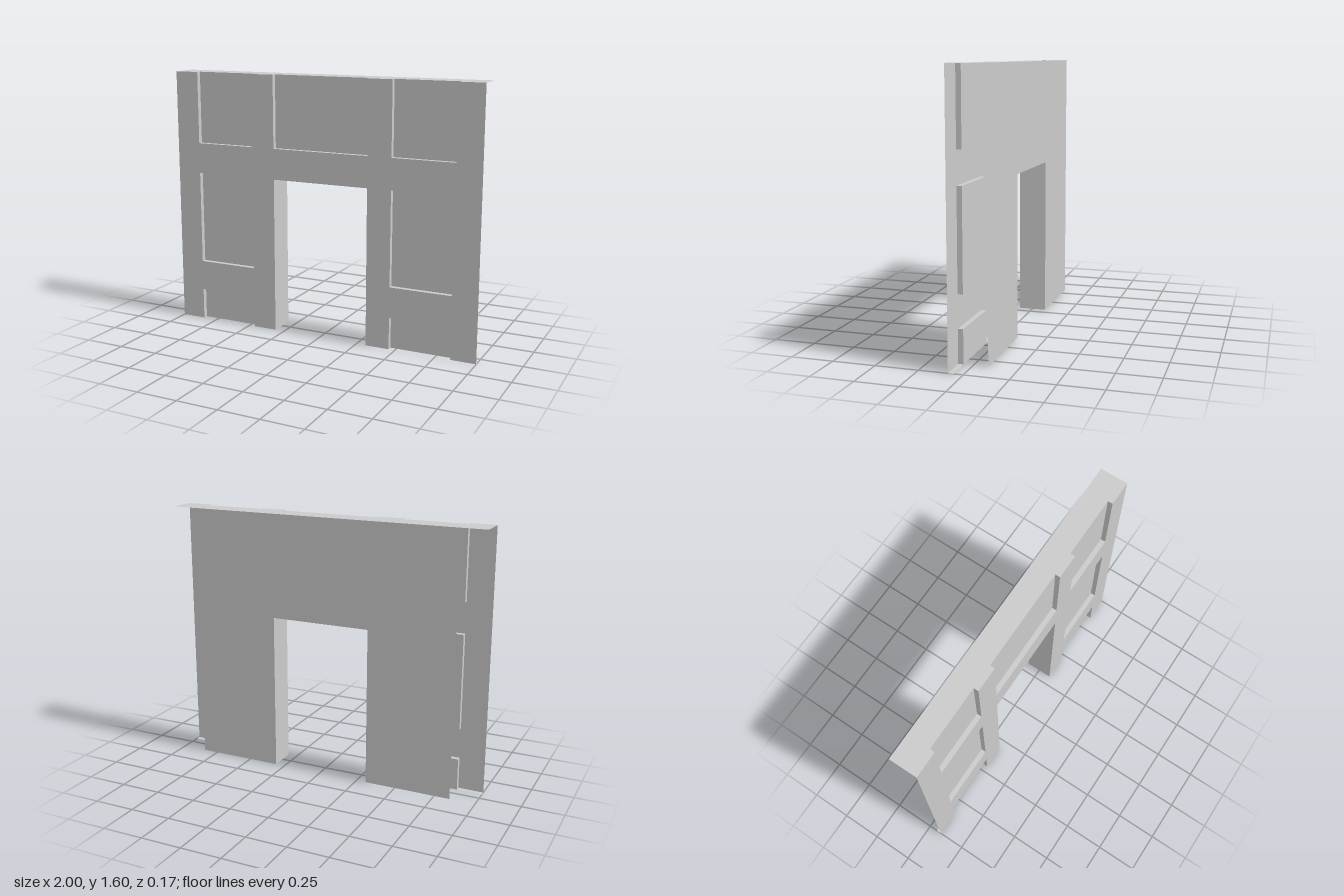
import * as THREE from 'three';

const FRONT = 0.085, RECESS = 0.055, BACK = -0.085, TOP = 1.6;
const DOOR_X = 0.31, DOOR_Y = 0.965, IN_X = 0.46, OUT_X = 0.845;

export function createModel() {
  const group = new THREE.Group();
  const material = new THREE.MeshStandardMaterial({ color: 0xcccccc, side: THREE.DoubleSide });

  const add = (name, geometry) => {
    const mesh = new THREE.Mesh(geometry, material);
    mesh.name = name;
    group.add(mesh);
    return mesh;
  };
  const toShape = (points) => new THREE.Shape(points.map(([x, y]) => new THREE.Vector2(x, y)));
  // mirrors a right-half outline into a closed symmetrical one
  const mirrored = (half) => [...half, ...half.map(([x, y]) => [-x, y]).reverse()];
  const rect = (x0, x1, y0, y1) => [[x0, y0], [x1, y0], [x1, y1], [x0, y1]];

  // open strip of flat quads following a path, spanning from z0 (near) to z1 (far)
  const ribbon = (name, path, z0, z1) => {
    const positions = [];
    for (let i = 0; i < path.length - 1; i++) {
      const [a, b] = path[i], [c, d] = path[i + 1];
      positions.push(a, b, z0, a, b, z1, c, d, z1, a, b, z0, c, d, z1, c, d, z0);
    }
    const geometry = new THREE.BufferGeometry();
    geometry.setAttribute('position', new THREE.Float32BufferAttribute(positions, 3));
    geometry.computeVertexNormals();
    add(name, geometry);
  };

  // front frame, notched at the top, the bottom and the doorway
  const face = toShape(mirrored([
    [DOOR_X, DOOR_Y], [DOOR_X, 0], [IN_X, 0], [IN_X, 0.195], [OUT_X, 0.195], [OUT_X, 0],
    [1, 0], [1, TOP], [OUT_X, TOP], [OUT_X, 1.155], [IN_X, 1.155], [IN_X, TOP],
    [DOOR_X, TOP], [DOOR_X, 1.155],
  ]));

  // recessed panels: [x0, x1, y0, y1]
  const panels = [[-DOOR_X, DOOR_X, 1.155, TOP]];
  for (const s of [-1, 1]) {
    const [x0, x1] = s > 0 ? [IN_X, OUT_X] : [-OUT_X, -IN_X];
    panels.push([x0, x1, 0, 0.195], [x0, x1, 0.385, DOOR_Y], [x0, x1, 1.155, TOP]);
    face.holes.push(toShape(rect(x0, x1, 0.385, DOOR_Y).reverse()));
    // thin undersides of the frame legs
    ribbon('frameUnderside', s > 0 ? [[DOOR_X, 0], [IN_X, 0]] : [[-IN_X, 0], [-DOOR_X, 0]], FRONT, RECESS);
    ribbon('frameUnderside', s > 0 ? [[OUT_X, 0], [1, 0]] : [[-1, 0], [-OUT_X, 0]], FRONT, RECESS);
  }
  add('frontFrame', new THREE.ShapeGeometry(face)).position.z = FRONT;

  for (const [x0, x1, y0, y1] of panels) {
    add('recessedPanel', new THREE.ShapeGeometry(toShape(rect(x0, x1, y0, y1)))).position.z = RECESS;
    // reveals on every edge that does not run out of the wall
    const [a, b, c, d] = rect(x0, x1, y0, y1);
    const path = y0 === 0 ? [b, c, d, a] : y1 === TOP ? [d, a, b, c] : [a, b, c, d, a];
    ribbon('panelReveal', path.reverse(), FRONT, RECESS);
  }

  // doorway jambs and soffit
  ribbon('doorReveal', [[-DOOR_X, 0], [-DOOR_X, DOOR_Y], [DOOR_X, DOOR_Y], [DOOR_X, 0]], FRONT, BACK);

  // back wall, set in from both open ends
  const back = new THREE.ShapeGeometry(toShape(mirrored([
    [DOOR_X, DOOR_Y], [DOOR_X, 0], [OUT_X, 0], [OUT_X, TOP],
  ])));
  back.rotateY(Math.PI);
  add('backWall', back).position.z = BACK;

  // top cap, notched above the recessed panels (shape y maps to -z)
  const top = new THREE.ShapeGeometry(toShape(mirrored([
    [DOOR_X, -RECESS], [DOOR_X, -FRONT], [IN_X, -FRONT], [IN_X, -RECESS],
    [OUT_X, -RECESS], [OUT_X, -FRONT], [1, -FRONT], [1, -BACK],
  ])));
  top.rotateX(-Math.PI / 2);
  add('topCap', top).position.y = TOP;

  return group;
}
